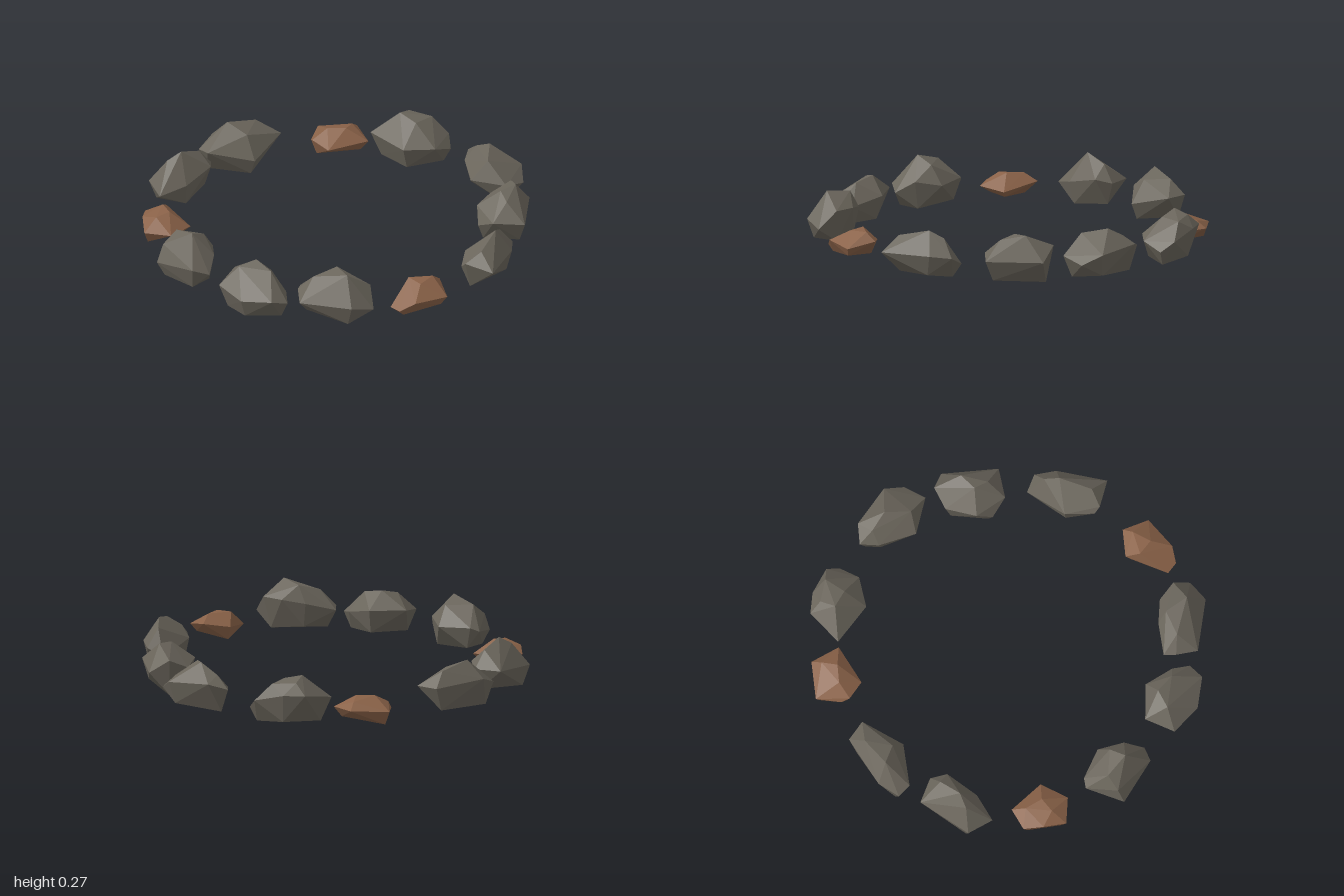
import * as THREE from 'three';
import { ConvexGeometry } from 'three/addons/geometries/ConvexGeometry.js';

const stoneGrey = new THREE.MeshStandardMaterial({ color: 0x6b665c });
stoneGrey.name = 'stone grey';
const clayBrown = new THREE.MeshStandardMaterial({ color: 0x8a6248 });
clayBrown.name = 'clay brown';

// One faceted stone: a waist of corners (x, y, z), crest points on top
// and a shrunken copy of every second waist corner as its underside.
function stone(name, material, base, waist, crest) {
  const cx = waist.reduce((s, p) => s + p[0], 0) / waist.length;
  const cz = waist.reduce((s, p) => s + p[2], 0) / waist.length;
  const points = [...waist, ...crest].map((p) => new THREE.Vector3(...p));
  waist.forEach(([x, , z], i) => {
    if (i % 2) return;
    const lift = i === 2 ? 0.02 : 0; // slight tilt
    points.push(new THREE.Vector3(cx + (x - cx) * 0.78, base + lift, cz + (z - cz) * 0.78));
  });
  const mesh = new THREE.Mesh(new ConvexGeometry(points), material);
  mesh.name = name;
  return mesh;
}

export function createModel() {
  const ring = new THREE.Group();
  ring.name = 'stoneRing';
  const grey = (name, ...args) => ring.add(stone(name, stoneGrey, ...args));
  const brown = (name, ...args) => ring.add(stone(name, clayBrown, ...args));

  // Back of the ring
  grey('backRightStone', 0.01,
    [[-0.595, 0.12, -0.767], [-0.516, 0.16, -0.847], [-0.246, 0.15, -0.915], [-0.177, 0.15, -0.825],
      [-0.33, 0.09, -0.66], [-0.56, 0.13, -0.7]],
    [[-0.45, 0.25, -0.79], [-0.3, 0.22, -0.85], [-0.36, 0.205, -0.725]]);
  brown('backClayStone', 0.01,
    [[0.03, 0.08, -1], [0.22, 0.09, -0.963], [0.256, 0.08, -0.81], [0.05, 0.07, -0.757],
      [-0.02, 0.09, -0.84], [-0.02, 0.07, -0.884]],
    [[0.06, 0.135, -0.87], [0.15, 0.14, -0.85], [0.19, 0.125, -0.92]]);
  grey('backLeftStone', 0.01,
    [[0.267, 0.13, -0.81], [0.437, 0.17, -0.9], [0.537, 0.17, -0.857], [0.65, 0.13, -0.75],
      [0.65, 0.08, -0.68], [0.563, 0.12, -0.608], [0.405, 0.12, -0.62]],
    [[0.41, 0.247, -0.78], [0.57, 0.215, -0.78], [0.463, 0.225, -0.84], [0.48, 0.22, -0.71]]);

  // Left side
  grey('leftRearStone', 0.02,
    [[0.72, 0.14, -0.555], [0.817, 0.17, -0.534], [0.96, 0.15, -0.354], [0.955, 0.1, -0.25],
      [0.86, 0.13, -0.17], [0.696, 0.12, -0.27], [0.69, 0.13, -0.465]],
    [[0.807, 0.25, -0.4], [0.78, 0.225, -0.27], [0.75, 0.2, -0.48]]);
  grey('leftMiddleStone', 0,
    [[0.876, 0.19, -0.12], [0.96, 0.12, -0.058], [0.9, 0.12, 0.222], [0.743, 0.13, 0.206],
      [0.68, 0.08, 0.122], [0.685, 0.15, 0.04], [0.77, 0.14, -0.095]],
    [[0.88, 0.243, 0.02], [0.8, 0.235, 0.065], [0.82, 0.21, 0.14]]);
  grey('leftFrontStone', 0.01,
    [[0.754, 0.08, 0.323], [0.817, 0.12, 0.38], [0.8, 0.13, 0.49], [0.675, 0.13, 0.714],
      [0.548, 0.15, 0.635], [0.532, 0.12, 0.603], [0.57, 0.13, 0.46]],
    [[0.72, 0.245, 0.48], [0.63, 0.205, 0.62], [0.75, 0.21, 0.41]]);

  // Front of the ring
  brown('frontClayStone', 0.03,
    [[0.278, 0.1, 0.683], [0.41, 0.12, 0.71], [0.43, 0.09, 0.85], [0.262, 0.1, 0.92],
      [0.183, 0.06, 0.915], [0.145, 0.06, 0.862]],
    [[0.25, 0.16, 0.75], [0.37, 0.16, 0.75], [0.3, 0.155, 0.82]]);
  grey('frontMiddleStone', 0.03,
    [[-0.304, 0.14, 0.762], [-0.283, 0.13, 0.704], [-0.13, 0.17, 0.725], [-0.02, 0.19, 0.767],
      [0.045, 0.19, 0.857], [0.05, 0.1, 0.947], [-0.066, 0.13, 0.99], [-0.31, 0.12, 0.873]],
    [[-0.075, 0.268, 0.89], [-0.23, 0.22, 0.79], [-0.11, 0.257, 0.77]]);
  grey('frontRightStone', 0.01,
    [[-0.68, 0.12, 0.635], [-0.585, 0.15, 0.513], [-0.41, 0.15, 0.571], [-0.357, 0.11, 0.725],
      [-0.362, 0.09, 0.815], [-0.447, 0.12, 0.852], [-0.59, 0.1, 0.783]],
    [[-0.49, 0.238, 0.61], [-0.43, 0.215, 0.7], [-0.58, 0.215, 0.63]]);

  // Right side
  grey('rightFrontStone', 0.01,
    [[-0.944, 0.08, 0.291], [-0.833, 0.12, 0.127], [-0.786, 0.14, 0.132], [-0.659, 0.13, 0.243],
      [-0.67, 0.15, 0.376], [-0.706, 0.09, 0.471], [-0.79, 0.12, 0.476]],
    [[-0.776, 0.264, 0.35], [-0.71, 0.225, 0.29], [-0.84, 0.23, 0.24], [-0.91, 0.17, 0.27]]);
  brown('rightClayStone', 0.02,
    [[-0.934, 0.09, -0.228], [-0.823, 0.1, -0.254], [-0.728, 0.07, -0.074], [-0.839, 0.08, 0.032],
      [-0.966, 0.08, -0.016], [-0.96, 0.11, -0.132]],
    [[-0.83, 0.145, -0.1], [-0.85, 0.14, -0.19], [-0.9, 0.135, -0.07]]);
  grey('rightRearStone', 0.01,
    [[-0.88, 0.11, -0.497], [-0.664, 0.14, -0.677], [-0.558, 0.14, -0.593], [-0.569, 0.16, -0.508],
      [-0.706, 0.12, -0.397], [-0.844, 0.09, -0.36]],
    [[-0.72, 0.265, -0.49], [-0.62, 0.225, -0.56], [-0.79, 0.225, -0.48]]);

  return ring;
}
